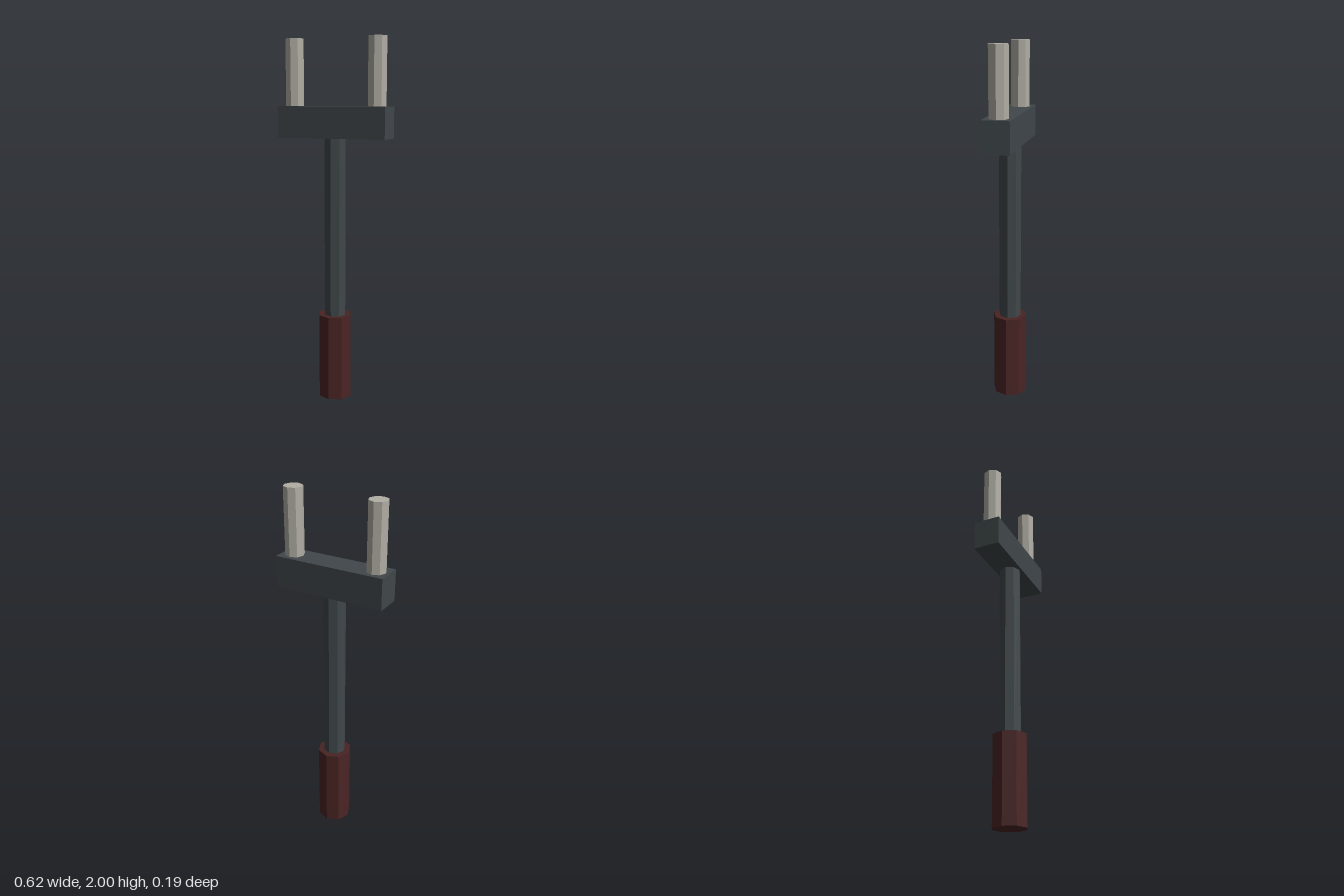
import * as THREE from 'three';

export function createModel() {
  const group = new THREE.Group();
  const mat = (color) => new THREE.MeshStandardMaterial({ color, flatShading: true });
  const darkMetal = mat(0x40474a);
  const gripRed = mat(0x4a2424);
  const paleMetal = mat(0xb0aea4);

  const add = (name, geometry, material, x, bottom, top) => {
    const mesh = new THREE.Mesh(geometry, material);
    mesh.name = name;
    mesh.position.set(x, (bottom + top) / 2, 0);
    group.add(mesh);
  };
  // Upright eight-sided rod between two heights
  const rod = (name, radius, bottom, top, material, x = 0) =>
    add(name, new THREE.CylinderGeometry(radius, radius, top - bottom, 8), material, x, bottom, top);

  // Grip and shaft
  rod('grip', 0.095, 0, 0.48, gripRed);
  rod('shaft', 0.062, 0.48, 1.47, darkMetal);

  // Crossbar carrying the two prongs
  add('crossbar', new THREE.BoxGeometry(0.62, 0.17, 0.148), darkMetal, 0, 1.47, 1.64);
  for (const [name, side] of [['leftProng', 1], ['rightProng', -1]]) {
    rod(name, 0.052, 1.64, 2, paleMetal, side * 0.24);
  }
  return group;
}
